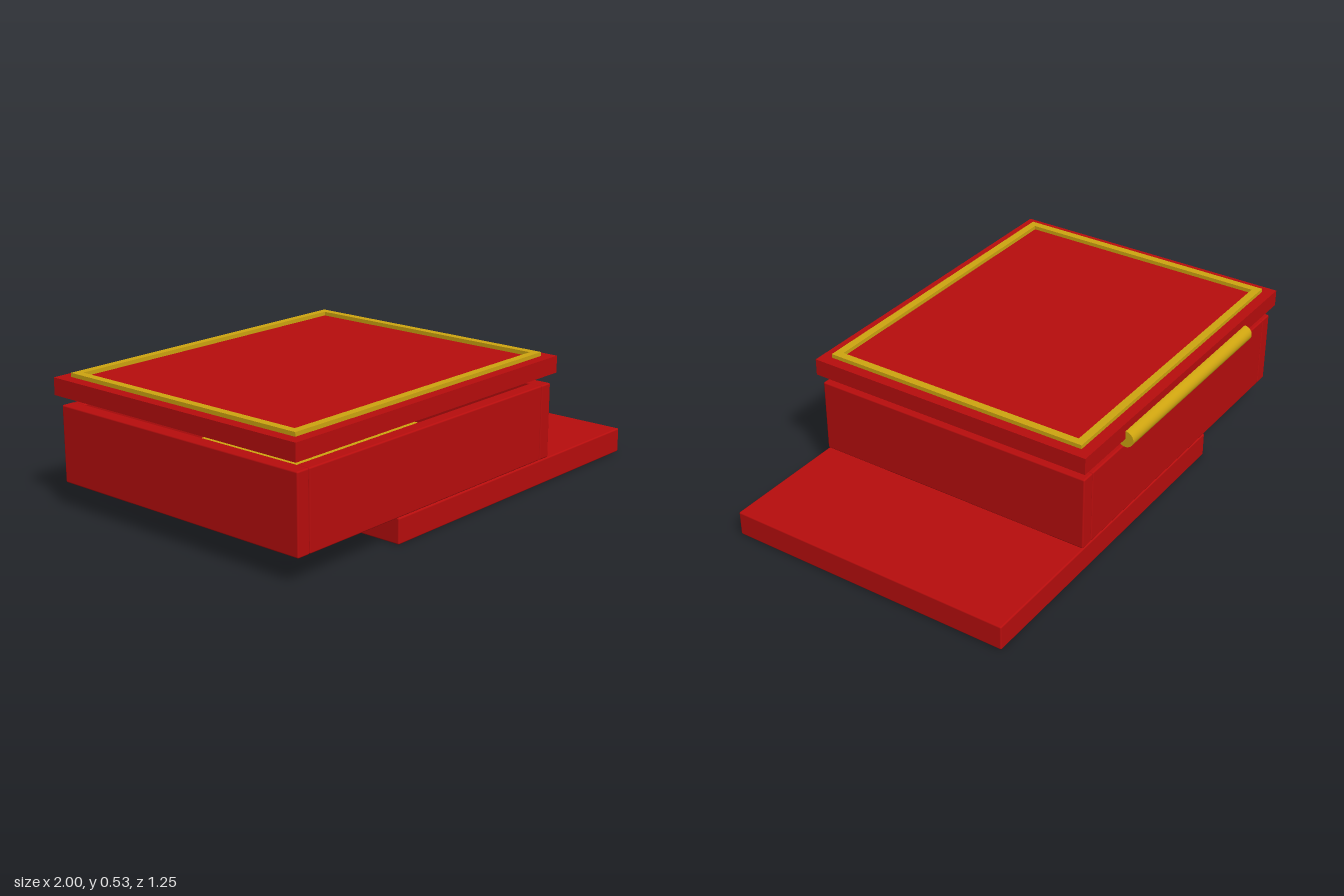
import * as THREE from 'three';
import { RoundedBoxGeometry } from 'three/addons/geometries/RoundedBoxGeometry.js';

export function createModel() {
  const model = new THREE.Group();
  model.name = 'jewelleryBox';

  const red = new THREE.MeshStandardMaterial({ color: 0xb80d0d });
  red.name = 'red lacquer';
  const gold = new THREE.MeshStandardMaterial({ color: 0xcfa510 });
  gold.name = 'gold';

  // Box given by its extents along each axis, with an optional softened edge
  function block(name, material, [x0, x1], [y0, y1], [z0, z1], edge = 0) {
    const size = [x1 - x0, y1 - y0, z1 - z0];
    const geometry = edge
      ? new RoundedBoxGeometry(...size, 2, edge)
      : new THREE.BoxGeometry(...size);
    const mesh = new THREE.Mesh(geometry, material);
    mesh.position.set((x0 + x1) / 2, (y0 + y1) / 2, (z0 + z1) / 2);
    mesh.name = name;
    model.add(mesh);
    return mesh;
  }

  const EDGE = 0.006;
  const wallY = [0.106, 0.41];
  const depth = [-0.58, 0.615];

  // Base slab, slid out to one side
  block('base', red, [-0.455, 0.995], [0.003, 0.104], depth, EDGE);

  // Four walls: the side walls run the full depth, the others fit between
  block('rightWall', red, [-0.979, -0.921], wallY, depth, EDGE);
  block('leftWall', red, [0.413, 0.471], wallY, depth, EDGE);
  block('frontWall', red, [-0.921, 0.413], wallY, [0.557, 0.615], EDGE);
  block('backWall', red, [-0.921, 0.413], wallY, [-0.58, -0.522], EDGE);

  // Gold floor, set just above the lower rim of the walls
  block('floor', gold, [-0.922, 0.414], [0.115, 0.14], [-0.523, 0.558]);

  // Lid, floating slightly above the walls
  block('lid', red, [-1, 0.49], [0.45, 0.518], [-0.593, 0.628]);

  // Raised gold border on the lid
  const trimY = [0.517, 0.534];
  block('frontTrim', gold, [-0.954, 0.445], trimY, [0.552, 0.584]);
  block('backTrim', gold, [-0.954, 0.445], trimY, [-0.549, -0.517]);
  block('rightTrim', gold, [-0.954, -0.922], trimY, [-0.517, 0.552]);
  block('leftTrim', gold, [0.413, 0.445], trimY, [-0.517, 0.552]);

  // Hinge rod along the back edge of the lid
  const hinge = new THREE.Mesh(new THREE.CylinderGeometry(0.034, 0.034, 0.936, 32), gold);
  hinge.rotation.z = Math.PI / 2;
  hinge.position.set(-0.254, 0.45, -0.593);
  hinge.name = 'hinge';
  model.add(hinge);

  return model;
}
